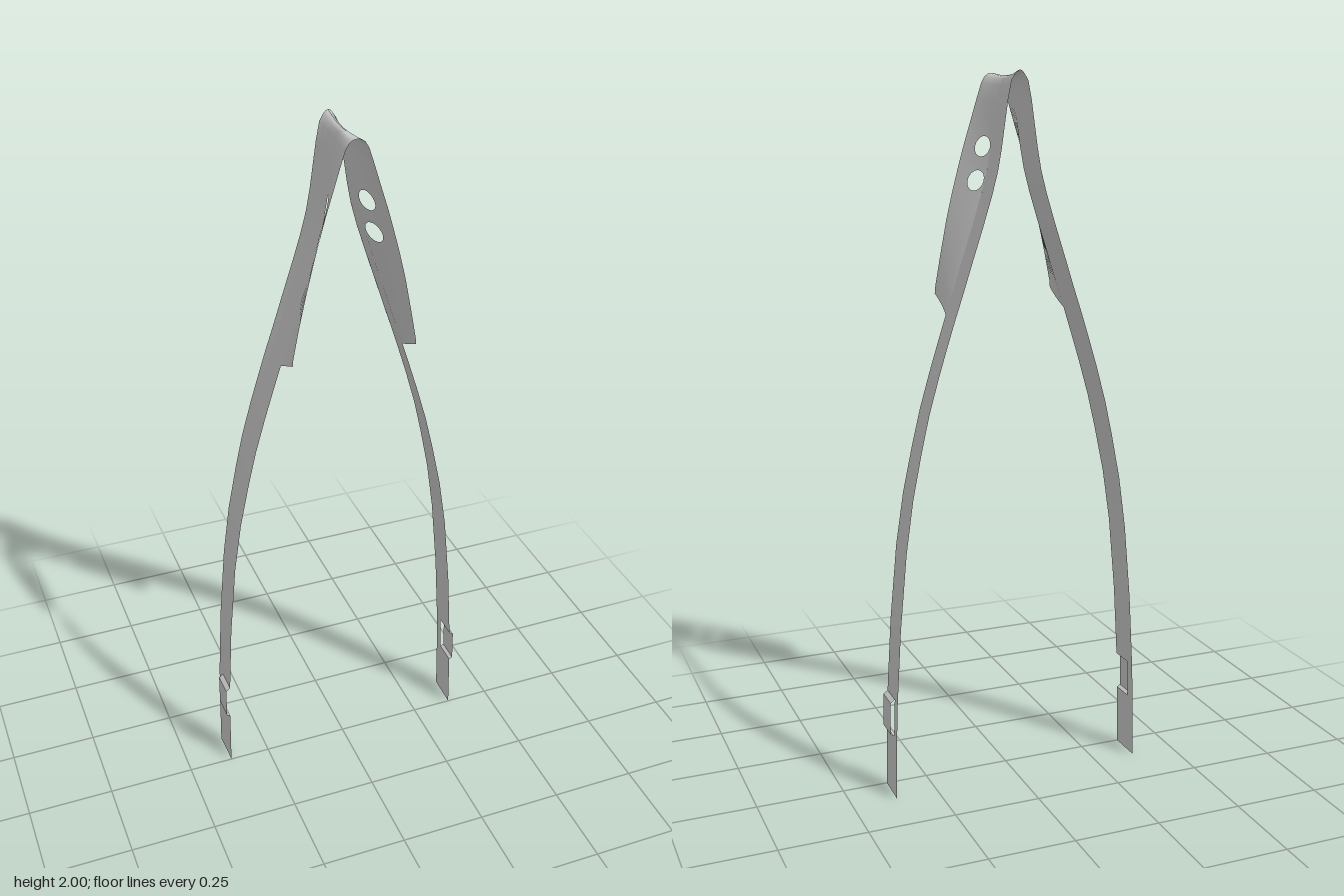
import * as THREE from 'three';
import { mergeVertices, toCreasedNormals } from 'three/addons/utils/BufferGeometryUtils.js';

// Height, half-width along the arm, half-width along the front edge of the flap
const PROFILE = [
  [1.985, 0, 0], [1.983, 0.005, 0.011], [1.976, 0.010, 0.021], [1.96, 0.016, 0.031],
  [1.92, 0.024, 0.045], [1.87, 0.032, 0.061], [1.8, 0.042, 0.083], [1.74, 0.053, 0.100],
  [1.68, 0.069, 0.116], [1.6, 0.094, 0.136], [1.5, 0.127, 0.158], [1.42, 0.153, 0.173],
  [1.355, 0.175, 0.178], [1.28, 0.199, 0.199], [1.2, 0.224, 0.224], [1.1, 0.253, 0.253],
  [1.0, 0.277, 0.277], [0.87, 0.305, 0.305], [0.72, 0.328, 0.328], [0.5, 0.349, 0.349],
  [0.288, 0.362, 0.362], [0.18, 0.366, 0.366], [0, 0.37, 0.37],
];
const TOP = 1.985, LIP_Z = -0.07, BACK_Z = -0.1, FRONT_Z = 0.1;
const lerp = THREE.MathUtils.lerp, smooth = THREE.MathUtils.smoothstep;

function profileAt(y, column) {
  let i = 0;
  while (i < PROFILE.length - 2 && y < PROFILE[i + 1][0]) i++;
  const a = PROFILE[i], b = PROFILE[i + 1];
  return lerp(a[column], b[column], (a[0] - y) / (a[0] - b[0]));
}

// A point on the bent sheet: the front flares out, the back flares slightly
function sheetPoint(z, y, bump = 0) {
  const base = profileAt(y, 1), front = profileAt(y, 2);
  const arch = smooth(y, 1.88, TOP);
  const away = Math.min(1, (TOP - y) / 0.03);
  const x = z > 0
    ? base + (front - base) * z / FRONT_Z
    : base + (z / BACK_Z) ** 2 * away * lerp(0.002, 0.009, smooth(y, 0.6, 1.3));
  const lift = z > 0 ? 0.006 * (z / FRONT_Z) ** 2 : 0.015 * (z / BACK_Z) ** 2;
  return [x + bump, y + lift * arch, z];
}

// Mirrored pair of surface grids; each patch has rows of [x, y, z] points
function mirroredSheet(name, patches, material) {
  const positions = [];
  for (const rows of patches) {
    for (const side of [1, -1]) {
      const put = (...points) => points.forEach(([x, y, z]) => positions.push(side * x, y, z));
      for (let i = 0; i < rows.length - 1; i++) {
        for (let j = 0; j < rows[i].length - 1; j++) {
          const a = rows[i][j], b = rows[i][j + 1], c = rows[i + 1][j + 1], d = rows[i + 1][j];
          if (side > 0) put(a, d, c, a, c, b);
          else put(a, c, d, a, b, c);
        }
      }
    }
  }
  let geometry = new THREE.BufferGeometry();
  geometry.setAttribute('position', new THREE.Float32BufferAttribute(positions, 3));
  geometry = toCreasedNormals(mergeVertices(geometry, 1e-5), 0.6);
  const mesh = new THREE.Mesh(geometry, material);
  mesh.name = name;
  return mesh;
}

// Strip between two heights; z runs from the back edge to the front edge
function strip(yTop, yBottom, zBack, zFront, columns, point = sheetPoint) {
  const ys = [yTop, ...PROFILE.map(p => p[0]).filter(y => y < yTop && y > yBottom), yBottom];
  return ys.map(y => Array.from({ length: columns + 1 },
    (_, j) => point(lerp(zFront, zBack, j / columns), y)));
}

// Rectangle of sheet with a round hole, as a ring from the hole to the border
function holedPanel(yTop, yBottom, zBack, zFront, zHole, radius) {
  const corners = [[zFront, yTop], [zBack, yTop], [zBack, yBottom], [zFront, yBottom]];
  const yHole = (yTop + yBottom) / 2, perSide = 8, rings = 4;
  const border = [];
  corners.forEach(([z, y], i) => {
    const [z2, y2] = corners[(i + 1) % 4];
    for (let k = 0; k < perSide; k++) border.push([lerp(z, z2, k / perSide), lerp(y, y2, k / perSide)]);
  });
  border.push(border[0]);
  return Array.from({ length: rings + 1 }, (_, r) => border.map(([z, y]) => {
    const angle = Math.atan2(y - yHole, z - zHole), t = r / rings;
    return sheetPoint(lerp(z, zHole + radius * Math.cos(angle), t),
      lerp(y, yHole + radius * Math.sin(angle), t));
  }));
}

export function createModel() {
  const group = new THREE.Group();
  group.name = 'springTongs';
  const material = new THREE.MeshStandardMaterial({ color: 0xcccccc, side: THREE.DoubleSide });

  // Main band of both arms, from the bend at the top to the feet
  group.add(mirroredSheet('arms', [strip(TOP, 0.288, LIP_Z, 0, 4)], material));

  // Narrow lip along the back edge
  group.add(mirroredSheet('backLip', [strip(TOP, 0, BACK_Z, LIP_Z, 2)], material));

  // Wide flap at the top with two holes and a slanted lower edge
  const slant = [0, 1].map(v => Array.from({ length: 7 }, (_, j) => {
    const u = 1 - j / 6;
    return sheetPoint(0.093 * u, lerp(1.42, lerp(1.355, 1.4, u), v));
  }));
  const taper = (z, y) => sheetPoint(z * lerp(0.93, 1, smooth(y, 1.42, 1.66)), y);
  group.add(mirroredSheet('flaps', [
    strip(TOP, 1.845, 0, FRONT_Z, 4),
    holedPanel(1.845, 1.755, 0, FRONT_Z, 0.03, 0.027),
    holedPanel(1.755, 1.665, 0, FRONT_Z, 0.03, 0.027),
    strip(1.665, 1.42, 0, FRONT_Z, 4, taper),
    slant,
  ], material));

  // Raised pad above each foot, with a small ledge at its top and bottom
  const padPath = [[0.288, 0], [0.279, 0.012], [0.184, 0.01], [0.178, 0], [0, 0]];
  const foot = padPath.map(([y, bump]) => [0, LIP_Z].map(z => sheetPoint(z, y, bump)));
  group.add(mirroredSheet('feet', [foot], material));

  return group;
}
